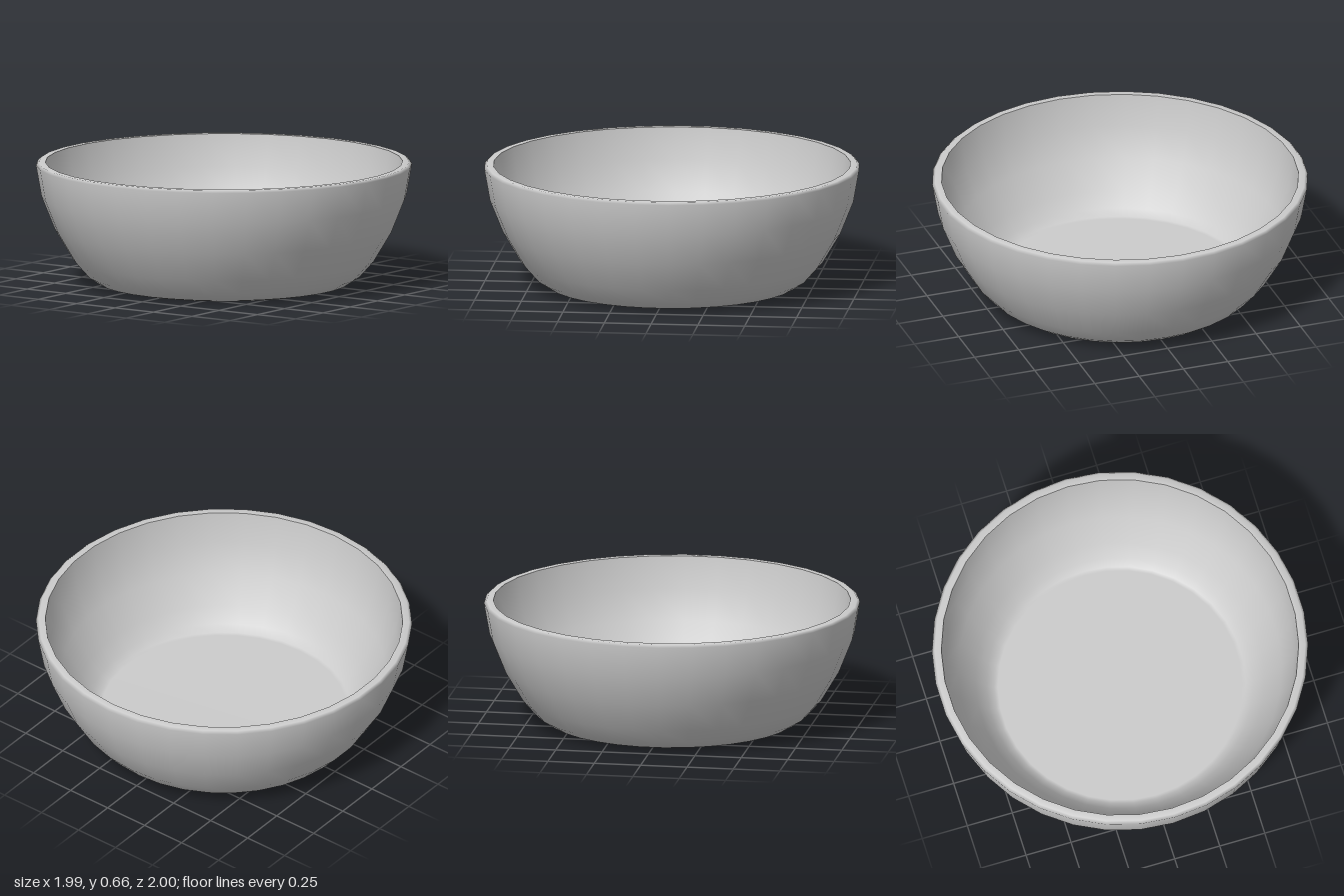
import * as THREE from 'three';

const SIDES = 34;

// Revolves a [radius, height] profile around the y axis with smooth normals.
function lathe(name, profile, material) {
  const points = profile.map(([r, y]) => new THREE.Vector2(r, y));
  const mesh = new THREE.Mesh(new THREE.LatheGeometry(points, SIDES), material);
  mesh.name = name;
  return mesh;
}

export function createModel() {
  const bowl = new THREE.Group();
  bowl.name = 'bowl';
  const material = new THREE.MeshStandardMaterial({ color: 0xcccccc });

  // Flat base and curved outer wall, rounding over onto the rim
  bowl.add(lathe('outerWall', [
    [0, 0], [0.59, 0], [0.61, 0.002], [0.67, 0.015], [0.73, 0.055], [0.805, 0.14],
    [0.9, 0.3], [0.97, 0.475], [1, 0.645], [0.985, 0.658], [0.95, 0.658],
  ], material));

  // Inner wall down to the flat floor, with a crisp edge at the rim
  bowl.add(lathe('innerWall', [
    [0.95, 0.658], [0.925, 0.485], [0.86, 0.325], [0.77, 0.175],
    [0.71, 0.1], [0.67, 0.072], [0.65, 0.068], [0, 0.068],
  ], material));

  return bowl;
}
